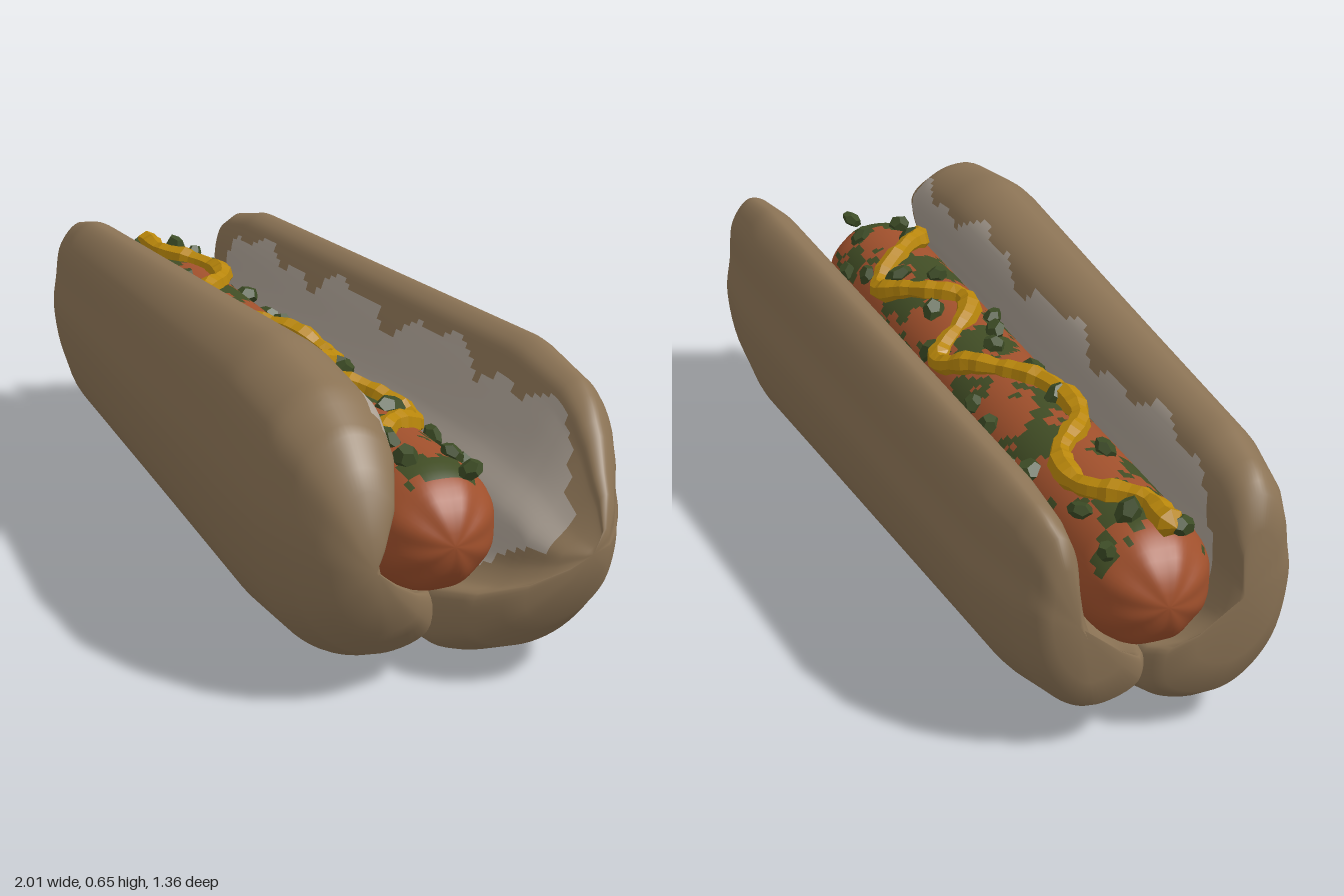
import * as THREE from 'three';

const mat = (name, color, flatShading = false) => {
  const m = new THREE.MeshStandardMaterial({ color, flatShading });
  m.name = name;
  return m;
};

// Piecewise-linear lookup in a list of [x, y] pairs
function lookup(table, x) {
  for (let i = 1; i < table.length; i++) {
    const [x0, y0] = table[i - 1], [x1, y1] = table[i];
    if (x <= x1) return y0 + (y1 - y0) * Math.max(0, (x - x0) / (x1 - x0));
  }
  return table[table.length - 1][1];
}

function seeded(seed) {
  return () => {
    seed = (seed * 16807) % 2147483647;
    return seed / 2147483647;
  };
}

// Skin closed rings along x; pick(i, j) gives the material slot of each face
function loft(rings, materials, pick, name) {
  const n = rings[0].length, last = rings.length - 1;
  const pos = [], lists = materials.map(() => []);
  rings.forEach(r => r.forEach(p => pos.push(p.x, p.y, p.z)));
  for (const r of [rings[0], rings[last]]) {
    const c = r.reduce((s, p) => s.add(p), new THREE.Vector3()).divideScalar(n);
    pos.push(c.x, c.y, c.z);
  }
  const c0 = n * (last + 1);
  for (let j = 0; j < n; j++) {
    const k = (j + 1) % n;
    for (let i = 0; i < last; i++) {
      const a = i * n + j, b = i * n + k, c = a + n, d = b + n;
      lists[pick(i, j)].push(a, c, b, b, c, d);
    }
    lists[0].push(c0, j, k, c0 + 1, last * n + k, last * n + j);
  }
  const g = new THREE.BufferGeometry();
  g.setAttribute('position', new THREE.Float32BufferAttribute(pos, 3));
  g.setIndex(lists.flat());
  let start = 0;
  lists.forEach((l, m) => {
    g.addGroup(start, l.length, m);
    start += l.length;
  });
  g.computeVertexNormals();
  const mesh = new THREE.Mesh(g, materials);
  mesh.name = name;
  return mesh;
}

// One half of the bun; side is +1 for the front half and -1 for the back half
function bunHalf(side, o, materials) {
  const taper = [[-1, 0.5], [-0.98, 0.75], [-0.93, 0.88], [-0.8, 1], [0.55, 1],
    [0.78, 0.93], [0.9, 0.74], [0.97, 0.48], [1, 0.22]];
  const us = [-1, -0.98, -0.955];
  for (let u = -0.93; u < 0.92; u += 0.025) us.push(u);
  us.push(0.94, 0.97, 1);
  const N = 90;
  const rings = us.map(u => {
    const s = lookup(taper, u), vo = lookup(o.outer, u), vi = lookup(o.inner, u);
    const H = lookup(o.top, u), base = lookup(o.base, u), vc = lookup(o.centre, u);
    const g = o.hug, d = vo - vi;
    const section = [[-0.02, base + 0.045], [0.1, base], [0.6 * vo, base + 0.03],
      [0.88 * vo, base + 0.135], [vo, 0.33], [0.97 * vo, 0.73 * H], [vo - 0.17 * d, 0.9 * H],
      [vo - 0.5 * d, H], [vi + 0.2 * d, 0.975 * H], [vi, 0.88 * H],
      [(vi + g) / 2, 0.68 * H], [g, 0.55 * H], [g - 0.03, 0.23], [0.05, 0.18], [-0.02, 0.165]];
    const curve = new THREE.CatmullRomCurve3(
      section.map(([v, y]) => new THREE.Vector3(0, y, v)), true);
    const ring = [];
    for (let k = 0; k < N; k++) {
      const p = curve.getPoint(k / N);
      ring.push(new THREE.Vector3(u > 0 ? u * o.reach : u,
        0.31 + (p.y - 0.31) * s, side * (vc + (p.z - vc) * s)));
    }
    return side > 0 ? ring : ring.reverse();
  });
  // Crumb with a wavy upper edge and a lower edge that rises near the ends
  const pick = (i, j) => {
    const k = side > 0 ? j : (2 * N - 2 - j) % N, u = us[i];
    const upper = o.crumbEdge + 1.6 * Math.sin(13 * u + 1) + 1.3 * Math.sin(31 * u)
      + 9 * Math.max(0, Math.abs(u) - 0.85) / 0.1;
    const lower = lookup([[-0.93, 66], [-0.8, 76], [0.72, 76], [0.92, 66]], u);
    return Math.abs(u) < 0.93 && k >= upper && k <= lower ? 1 : 0;
  };
  return loft(rings, materials, pick, side > 0 ? 'frontBunHalf' : 'backBunHalf');
}

export function createModel() {
  const crust = mat('bun crust', 0x8b7355);
  const crumb = mat('bun crumb', 0xaca195);
  const meat = mat('sausage', 0xa0502c);
  const mustard = mat('mustard', 0xb8860b, true);
  const relish = mat('relish', 0x414d25);
  const chunkMat = mat('relish chunks', 0x3c4b25, true);

  const model = new THREE.Group();
  model.name = 'hotDog';
  const body = new THREE.Group();
  body.name = 'filledBun';
  const angle = THREE.MathUtils.degToRad(28);
  body.rotation.y = -angle;
  model.add(body);

  // Bun
  body.add(bunHalf(1, {
    outer: [[-1, 0.315], [-0.8, 0.325], [0.55, 0.37], [0.8, 0.375], [1, 0.36]],
    inner: [[-1, 0.155], [1, 0.085]],
    top: [[-0.8, 0.58], [0.5, 0.655], [1, 0.64]],
    base: [[-1, 0.015], [1, 0.015]],
    centre: [[-1, 0.2], [1, 0.2]],
    hug: 0.15, reach: 0.935, crumbEdge: 52,
  }, [crust, crumb]));
  body.add(bunHalf(-1, {
    outer: [[-1, 0.26], [-0.93, 0.29], [-0.78, 0.317], [0.58, 0.417], [0.83, 0.415], [1, 0.37]],
    inner: [[-1, 0.16], [1, 0.28]],
    top: [[-0.8, 0.56], [0.6, 0.615], [0.85, 0.6], [1, 0.5]],
    base: [[-0.8, 0.045], [0.6, 0.002]],
    centre: [[-1, 0.18], [0.6, 0.2], [1, 0.26]],
    hug: 0.135, reach: 0.985, crumbEdge: 53,
  }, [crust, crumb]));

  // Sausage with puckered ends and relish stains on its top
  const R = 0.138, cy = 0.325, cz = 0.012, x0 = -1.02, x1 = 0.905;
  const xs = [], M = 64, caps = 9;
  for (let i = 0; i <= caps; i++) xs.push(x0 + R * (1 - Math.cos((i + 0.3) / (caps + 0.3) * Math.PI / 2)));
  const straight = 140, len = x1 - x0 - 2 * R;
  for (let i = 1; i < straight; i++) xs.push(x0 + R + len * i / straight);
  for (let i = caps; i >= 0; i--) xs.push(x1 - (xs[i] - x0));
  const rings = xs.map(x => {
    const e = Math.max(0, R - Math.min(x - x0, x1 - x)) / R;
    const r = R * Math.sqrt(Math.max(0, 1 - e * e));
    return Array.from({ length: M }, (_, j) => {
      const a = j / M * Math.PI * 2;
      const rr = r * (1 - 0.06 * e * e * (1 + Math.cos(8 * a)));
      return new THREE.Vector3(x, cy - rr * Math.cos(a), cz + rr * Math.sin(a));
    });
  });
  const stain = (i, j) => {
    const x = xs[i], a = (j + 0.5) / M * Math.PI * 2 - Math.PI;
    if (x < -0.95 || x > 0.82 || Math.abs(a) > 1.2) return 0;
    const f = Math.sin(15 * x + 2.2 * a + 1.5) + 0.8 * Math.sin(23 * x - 3.1 * a + 2)
      + 0.5 * Math.sin(47 * x + 9 * a) + 0.4 * Math.sin(83 * x - 17 * a);
    return f > 0.1 + 0.5 * Math.abs(a) ? 1 : 0;
  };
  body.add(loft(rings, [meat, relish], stain, 'sausage'));

  // Point on top of the sausage under a place seen from above
  const onTop = (x, z, lift) => {
    const u = x * Math.cos(angle) + z * Math.sin(angle);
    const v = z * Math.cos(angle) - x * Math.sin(angle);
    const y = cy + Math.sqrt(Math.max(0, R * R - (v - cz) ** 2));
    return new THREE.Vector3(u, y + lift, v);
  };

  // Mustard squiggle with an uneven thickness
  const squiggle = [[-0.88, -0.42], [-0.84, -0.405], [-0.77, -0.37], [-0.61, -0.385],
    [-0.505, -0.32], [-0.425, -0.16], [-0.265, -0.08], [-0.08, -0.095], [0.055, -0.08],
    [0.11, 0.08], [0.19, 0.15], [0.32, 0.12], [0.455, 0.135], [0.51, 0.29], [0.55, 0.38], [0.61, 0.43]];
  const path = new THREE.CatmullRomCurve3(squiggle.map(([x, z]) => onTop(x, z, 0.01)));
  const sides = 7, steps = 90;
  const tube = new THREE.TubeGeometry(path, steps, 0.026, sides);
  const tp = tube.attributes.position, p = new THREE.Vector3();
  for (let i = 0; i <= steps; i++) {
    const c = path.getPointAt(i / steps);
    const f = i === 0 || i === steps ? 0 : 1 + 0.14 * Math.sin(i * 0.9) + 0.1 * Math.sin(i * 2.3);
    for (let j = 0; j <= sides; j++) {
      const k = i * (sides + 1) + j;
      p.fromBufferAttribute(tp, k).sub(c).multiplyScalar(f).add(c);
      tp.setXYZ(k, p.x, p.y, p.z);
    }
  }
  tube.computeVertexNormals();
  const line = new THREE.Mesh(tube, mustard);
  line.name = 'mustardLine';
  body.add(line);

  // Relish chunks scattered over the top
  const chunks = new THREE.Group();
  chunks.name = 'relishChunks';
  const chunkGeo = new THREE.DodecahedronGeometry(0.027);
  const rand = seeded(4211);
  const spots = [[-0.79, -0.52], [-0.77, -0.43], [-0.66, -0.44], [-0.59, -0.45], [-0.45, -0.35],
    [-0.36, -0.32], [-0.56, -0.24], [-0.24, -0.24], [-0.32, -0.12], [-0.15, -0.19], [-0.05, -0.01],
    [0.01, 0.06], [-0.21, -0.06], [0.11, -0.05], [0.2, 0.06], [0.27, 0], [0.39, 0.07], [0.33, 0.21],
    [0.54, 0.18], [0.64, 0.21], [0.68, 0.3], [0.77, 0.36], [0.56, 0.35], [0.64, 0.4], [0.51, 0.46],
    [0.08, 0.13], [-0.87, -0.39], [0.42, 0.17]];
  for (const [x, z] of spots) {
    const chunk = new THREE.Mesh(chunkGeo, chunkMat);
    chunk.name = 'relishChunk';
    chunk.position.copy(onTop(x, z, 0.008));
    chunk.rotation.set(rand() * 3, rand() * 6, rand() * 3);
    chunk.scale.set(0.9 + rand() * 0.5, 0.6 + rand() * 0.4, 0.7 + rand() * 0.5);
    chunks.add(chunk);
  }
  body.add(chunks);
  return model;
}
